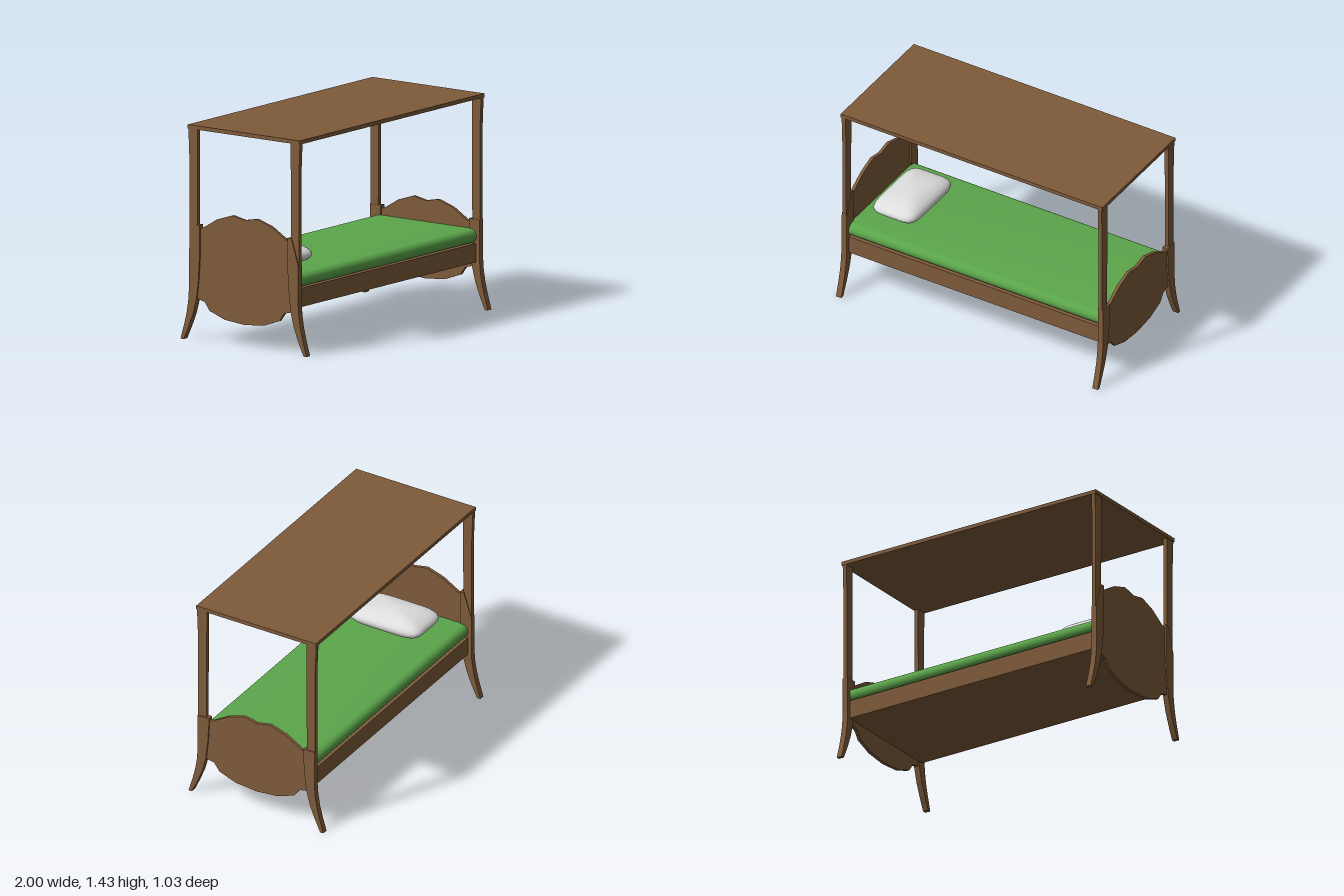
import * as THREE from 'three';
import { mergeVertices, toCreasedNormals } from 'three/addons/utils/BufferGeometryUtils.js';

const wood = new THREE.MeshStandardMaterial({ color: 0x7f5b3b });
wood.name = 'wood';
const green = new THREE.MeshStandardMaterial({ color: 0x5ca64b });
green.name = 'greenBlanket';
const white = new THREE.MeshStandardMaterial({ color: 0xdedede });
white.name = 'whiteLinen';

// Extrude a [z, y] outline along x, from x0 to x1
function extrudeX(points, x0, x1) {
  const shape = new THREE.Shape(points.map(([z, y]) => new THREE.Vector2(z, y)));
  const g = new THREE.ExtrudeGeometry(shape, { depth: x1 - x0, bevelEnabled: false });
  g.rotateY(-Math.PI / 2);
  g.translate(x1, 0, 0);
  return g;
}

// Span between two distances from the centre on one end of the bed
const span = (end, near, far) => (end > 0 ? [near, far] : [-far, -near]);

// Complete a half outline running from the centre line to the centre line
const mirrored = (half) => [
  ...half,
  ...half.filter(([z]) => z > 0).reverse().map(([z, y]) => [-z, y]),
];

export function createModel() {
  const bed = new THREE.Group();
  bed.name = 'canopyBed';
  const add = (name, geometry, material) => {
    const mesh = new THREE.Mesh(geometry, material);
    mesh.name = name;
    bed.add(mesh);
    return mesh;
  };

  for (const end of [-1, 1]) {
    const label = end < 0 ? 'head' : 'foot';
    const lift = end < 0 ? 0.177 : 0;

    // Scalloped end board
    const board = mirrored([
      [0, 0.15], [0.16, 0.165], [0.285, 0.21], [0.325, 0.265], [0.39, 0.28],
      [0.39, 0.575 + lift], [0.34, 0.578 + lift], [0.22, 0.65 + lift],
      [0.1, 0.688 + lift], [0, 0.668 + lift],
    ]);
    add(label + 'Board', extrudeX(board, ...span(end, 0.968, 0.99)), wood);

    for (const side of [-1, 1]) {
      const flip = ([z, y]) => [z * side, y];
      // Splayed leg
      const top = 0.595 + lift;
      const leg = [
        [0.49, 0], [0.515, 0], [0.485, 0.1], [0.465, 0.18], [0.452, 0.26], [0.447, 0.33],
        [0.447, 0.595], [end < 0 ? 0.39 : 0.447, top], [0.36, top], [0.36, 0.56],
        [0.37, 0.4], [0.385, 0.28], [0.412, 0.18], [0.448, 0.09],
      ].map(flip);
      add(label + 'Leg', extrudeX(leg, ...span(end, 0.96, 1)), wood);

      // Canopy post, flaring at the top
      const post = [
        [0.385, 0.5], [0.447, 0.5], [0.447, 1.19], [0.456, 1.41], [0.38, 1.41], [0.381, 1.19],
      ].map(flip);
      add(label + 'Post', extrudeX(post, ...span(end, 0.965, 0.993)), wood);
    }
  }

  // Flat canopy roof
  add('canopy', new THREE.BoxGeometry(2, 0.026, 0.914), wood).position.y = 1.417;

  // Solid bed base
  add('bedBase', new THREE.BoxGeometry(1.93, 0.125, 0.84), wood).position.y = 0.3725;

  // Mattress with rounded long sides
  const profile = [];
  for (let i = 0; i <= 12; i++) {
    const a = (i / 12 - 0.5) * Math.PI;
    profile.push([0.375 + 0.047 * Math.cos(a), 0.482 + 0.047 * Math.sin(a)]);
  }
  add('mattress', toCreasedNormals(extrudeX(mirrored(profile), -0.967, 0.967), 0.6), green);

  // Pillow: a sphere squared off in plan
  let pillow = new THREE.SphereGeometry(1, 48, 24);
  pillow.deleteAttribute('uv');
  pillow.deleteAttribute('normal');
  const p = pillow.attributes.position;
  for (let i = 0; i < p.count; i++) {
    const x = p.getX(i), y = p.getY(i), z = p.getZ(i);
    const r = Math.hypot(x, z);
    const norm = Math.pow(Math.abs(x) ** 6 + Math.abs(z) ** 6, 1 / 6);
    const k = norm > 1e-6 ? r / norm : 1;
    p.setXYZ(i, x * k * 0.168, y * 0.08, z * k * 0.27);
  }
  pillow = mergeVertices(pillow, 1e-5);
  pillow.computeVertexNormals();
  add('pillow', pillow, white).position.set(-0.732, 0.592, 0);

  return bed;
}
